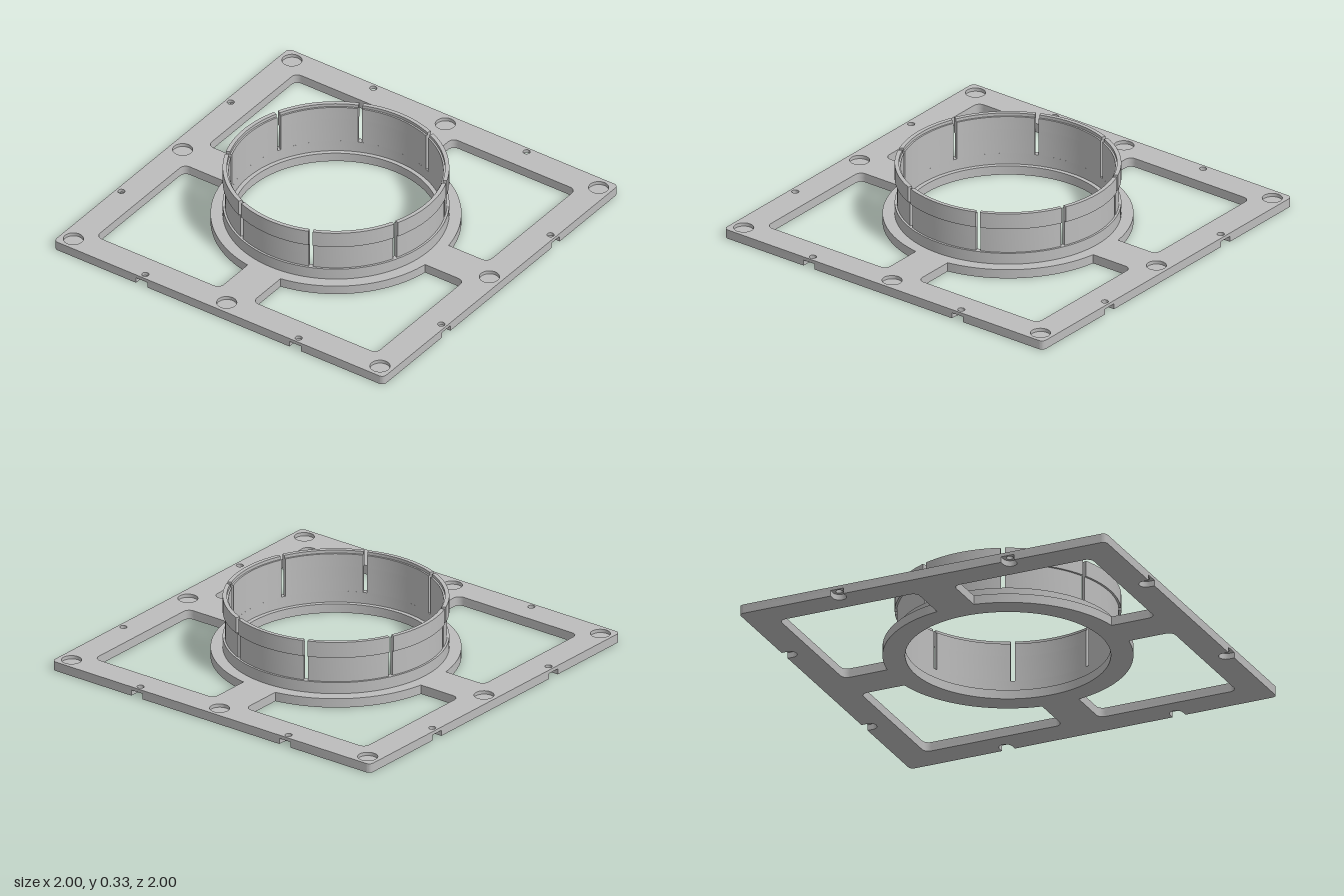
import * as THREE from 'three';
import { toCreasedNormals } from 'three/addons/utils/BufferGeometryUtils.js';

const PLATE_TOP = 0.048, SPLIT = 0.03;

// Points along an arc
function arc(cx, cy, r, from, to, n) {
  return Array.from({ length: n + 1 }, (_, i) => {
    const a = from + (to - from) * i / n;
    return new THREE.Vector2(cx + r * Math.cos(a), cy + r * Math.sin(a));
  });
}

const circle = (x, y, r, n = 24) => new THREE.Path(arc(x, y, r, 0, Math.PI * 2, n).slice(0, -1));

const turned = (points, k) =>
  points.map(p => p.clone().rotateAround(new THREE.Vector2(), k * Math.PI / 2));

// Stand a flat outline up between two heights
function slab(shape, y0, y1) {
  const g = new THREE.ExtrudeGeometry(shape, { depth: y1 - y0, bevelEnabled: false, curveSegments: 24 });
  g.rotateX(-Math.PI / 2).translate(0, y0, 0);
  return toCreasedNormals(g, 0.5);
}

// Square outline with rounded corners, optionally with two notches per side
function plateOutline(notched) {
  const pts = [], c = 0.025, w = 0.035;
  for (let k = 0; k < 4; k++) {
    const side = [];
    if (notched) {
      for (const y of [-0.465, 0.465]) {
        side.push(new THREE.Vector2(1, y - w));
        side.push(...arc(0.97, y, w, Math.PI * 1.5, Math.PI * 0.5, 12));
        side.push(new THREE.Vector2(1, y + w));
      }
    }
    side.push(...arc(1 - c, 1 - c, c, 0, Math.PI / 2, 6));
    pts.push(...turned(side, k));
  }
  const shape = new THREE.Shape(pts);

  // Central opening and the four windows around it
  shape.holes.push(circle(0, 0, 0.508, 96));
  const inner = 0.1, outer = 0.85, R = 0.62, f = 0.035, q = Math.PI / 2;
  const a = Math.asin(inner / R);
  const win = [
    ...arc(outer - f, inner + f, f, -q, 0, 6),
    ...arc(outer - f, outer - f, f, 0, q, 6),
    ...arc(inner + f, outer - f, f, q, 2 * q, 6),
    ...arc(0, 0, R, q - a, a, 24),
  ];
  for (let k = 0; k < 4; k++) shape.holes.push(new THREE.Path(turned(win, k)));
  return shape;
}

// Annulus, whole or as a sector
function ringShape(rIn, rOut, from, to) {
  if (from === undefined) {
    const s = new THREE.Shape(arc(0, 0, rOut, 0, Math.PI * 2, 96).slice(0, -1));
    s.holes.push(circle(0, 0, rIn, 96));
    return s;
  }
  return new THREE.Shape([...arc(0, 0, rOut, from, to, 14), ...arc(0, 0, rIn, to, from, 14)]);
}

export function createModel() {
  const model = new THREE.Group();
  const grey = new THREE.MeshStandardMaterial({ color: 0xbcbcbc });
  grey.name = 'grey plastic';
  const add = (name, geometry, parent = model) => {
    const m = new THREE.Mesh(geometry, grey);
    m.name = name;
    parent.add(m);
    return m;
  };

  // Lower plate layer, notched at the edges
  add('plateBase', slab(plateOutline(true), 0, SPLIT));

  // Upper plate layer, with round pockets and small edge holes
  const top = plateOutline(false);
  for (let i = -1; i <= 1; i++) {
    for (let j = -1; j <= 1; j++) {
      if (i || j) top.holes.push(circle(i * 0.93, j * 0.93, 0.05, 32));
    }
  }
  for (const s of [-1, 1]) {
    for (const t of [-0.465, 0.465]) {
      top.holes.push(circle(s * 0.97, t, 0.018, 16), circle(t, s * 0.97, 0.018, 16));
    }
  }
  add('plateTop', slab(top, SPLIT, PLATE_TOP));

  // Solid foot of the collar
  add('collarFoot', slab(ringShape(0.53, 0.56), PLATE_TOP, 0.108));

  // Eight spring fingers divided by narrow slots: neck, lip and rim
  const tiers = [
    ['fingerNeck', 0.53, 0.549, 0.108, 0.242],
    ['fingerLip', 0.53, 0.56, 0.242, 0.31],
    ['fingerRim', 0.539, 0.56, 0.31, 0.326],
  ];
  const step = Math.PI / 4, gap = 0.02;
  for (let k = 0; k < 8; k++) {
    const finger = new THREE.Group();
    finger.name = 'collarFinger' + (k + 1);
    for (const [name, rIn, rOut, y0, y1] of tiers) {
      const shape = ringShape(rIn, rOut, (k - 0.5) * step + gap, (k + 0.5) * step - gap);
      add(name, slab(shape, y0, y1), finger);
    }
    model.add(finger);
  }
  return model;
}
